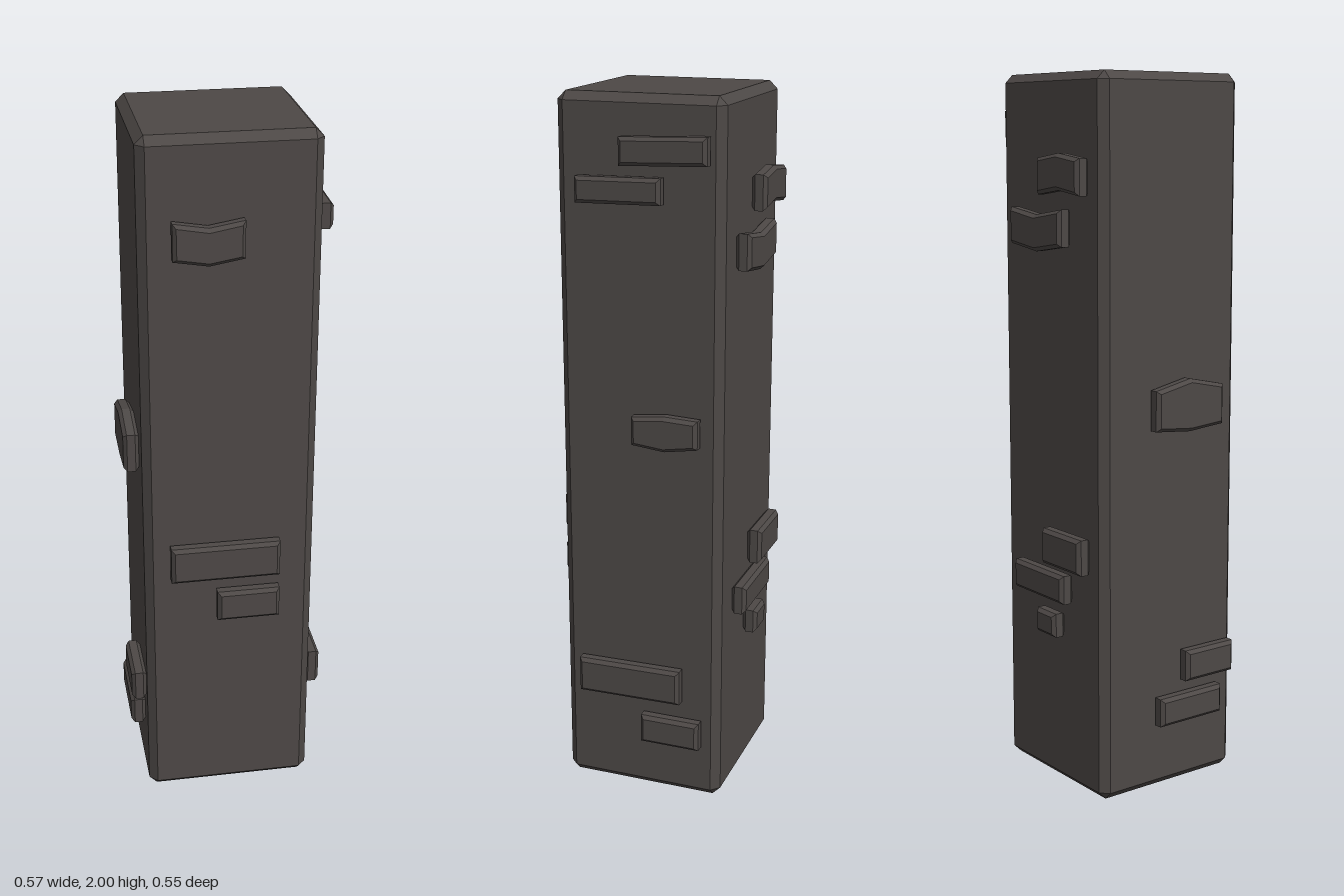
import * as THREE from 'three';

const HX = 0.24, HZ = 0.234, H = 2, C = 0.023; // pillar half sizes, height, chamfer
const DEPTH = 0.043, BEVEL = 0.01;            // raised brick thickness and bevel

// Chamfered pillar shell, open underneath, built from eight-point rings
function pillarGeometry() {
  const ring = (y, inset) => {
    const x = HX - inset, z = HZ - inset, a = HX - C, b = HZ - C;
    return [[x, b], [a, z], [-a, z], [-x, b], [-x, -b], [-a, -z], [a, -z], [x, -b]]
      .map(([px, pz]) => new THREE.Vector3(px, y, pz));
  };
  const rings = [ring(0, C), ring(C, 0), ring(H - C, 0), ring(H, C)];
  const pos = [];
  const tri = (a, b, c) => {
    if (a.equals(b) || b.equals(c) || a.equals(c)) return;
    for (const p of [a, b, c]) pos.push(p.x, p.y, p.z);
  };
  for (let r = 0; r < 3; r++) {
    for (let i = 0; i < 8; i++) {
      const j = (i + 1) % 8, lo = rings[r], hi = rings[r + 1];
      tri(lo[i], hi[i], hi[j]);
      tri(lo[i], hi[j], lo[j]);
    }
  }
  const top = rings[3];
  tri(top[0], top[6], top[4]);
  tri(top[0], top[4], top[2]);
  const geo = new THREE.BufferGeometry();
  geo.setAttribute('position', new THREE.Float32BufferAttribute(pos, 3));
  geo.computeVertexNormals();
  return geo;
}

// Bevelled brick: u runs left to right on its wall, the middle may be bent
function brickGeometry([u0, u1, y0, y1, bendTop = 0, bendBottom = 0, tilt = 0]) {
  const m = (u0 + u1) / 2;
  const pts = [[u0, y0], [m, y0 + bendBottom], [u1, y0 + tilt],
    [u1, y1 + tilt], [m, y1 + bendTop], [u0, y1]];
  if (!bendTop && !bendBottom) { pts.splice(4, 1); pts.splice(1, 1); }
  const shape = new THREE.Shape(pts.map(([u, y]) => new THREE.Vector2(u, y)));
  return new THREE.ExtrudeGeometry(shape, {
    depth: DEPTH - 2 * BEVEL, bevelEnabled: true, bevelSegments: 1,
    bevelSize: BEVEL, bevelThickness: BEVEL, bevelOffset: -BEVEL,
  }).translate(0, 0, BEVEL);
}

// Bricks per wall: u0, u1, bottom, top, bend of top, bend of bottom, tilt
const WALLS = [
  { name: 'front', turn: 0, out: HZ, bricks: [
    [-0.156, 0.032, 1.687, 1.788, -0.016, -0.016],
    [-0.17, 0.138, 0.739, 0.848],
    [-0.04, 0.138, 0.604, 0.697],
  ] },
  { name: 'left', turn: Math.PI / 2, out: HX, bricks: [
    [-0.043, 0.2, 1.82, 1.894, 0, 0, 0.009],
    [-0.167, 0.073, 1.718, 1.788, 0, 0, 0.005],
    [-0.013, 0.177, 1.067, 1.147, 0.01, -0.01, 0.006],
    [-0.178, 0.127, 0.296, 0.4, 0, 0, 0.004],
    [0.01, 0.185, 0.164, 0.249],
  ] },
  { name: 'back', turn: Math.PI, out: HZ, bricks: [
    [-0.01, 0.183, 1.677, 1.775, 0.013, 0.013],
    [-0.142, 0.1, 1.54, 1.64, -0.017, -0.017],
    [0.0, 0.183, 0.649, 0.75],
    [-0.14, 0.1, 0.548, 0.63],
    [-0.03, 0.06, 0.442, 0.511],
  ] },
  { name: 'right', turn: -Math.PI / 2, out: HX, bricks: [
    [-0.08, 0.155, 1.043, 1.155, 0.025, -0.01],
    [0.03, 0.202, 0.31, 0.4],
    [-0.06, 0.16, 0.193, 0.275],
  ] },
];

export function createModel() {
  const model = new THREE.Group();
  model.name = 'stonePillar';
  const stone = new THREE.MeshStandardMaterial({ color: 0x4d4846, side: THREE.DoubleSide, flatShading: true });
  stone.name = 'dark stone';

  const pillar = new THREE.Mesh(pillarGeometry(), stone);
  pillar.name = 'pillar';
  model.add(pillar);

  // Raised bricks on the four walls
  for (const wall of WALLS) {
    const group = new THREE.Group();
    group.name = wall.name + 'Bricks';
    group.rotation.y = wall.turn;
    wall.bricks.forEach((b, i) => {
      const brick = new THREE.Mesh(brickGeometry(b), stone);
      brick.name = `${wall.name}Brick${i + 1}`;
      brick.position.z = wall.out;
      group.add(brick);
    });
    model.add(group);
  }
  return model;
}
